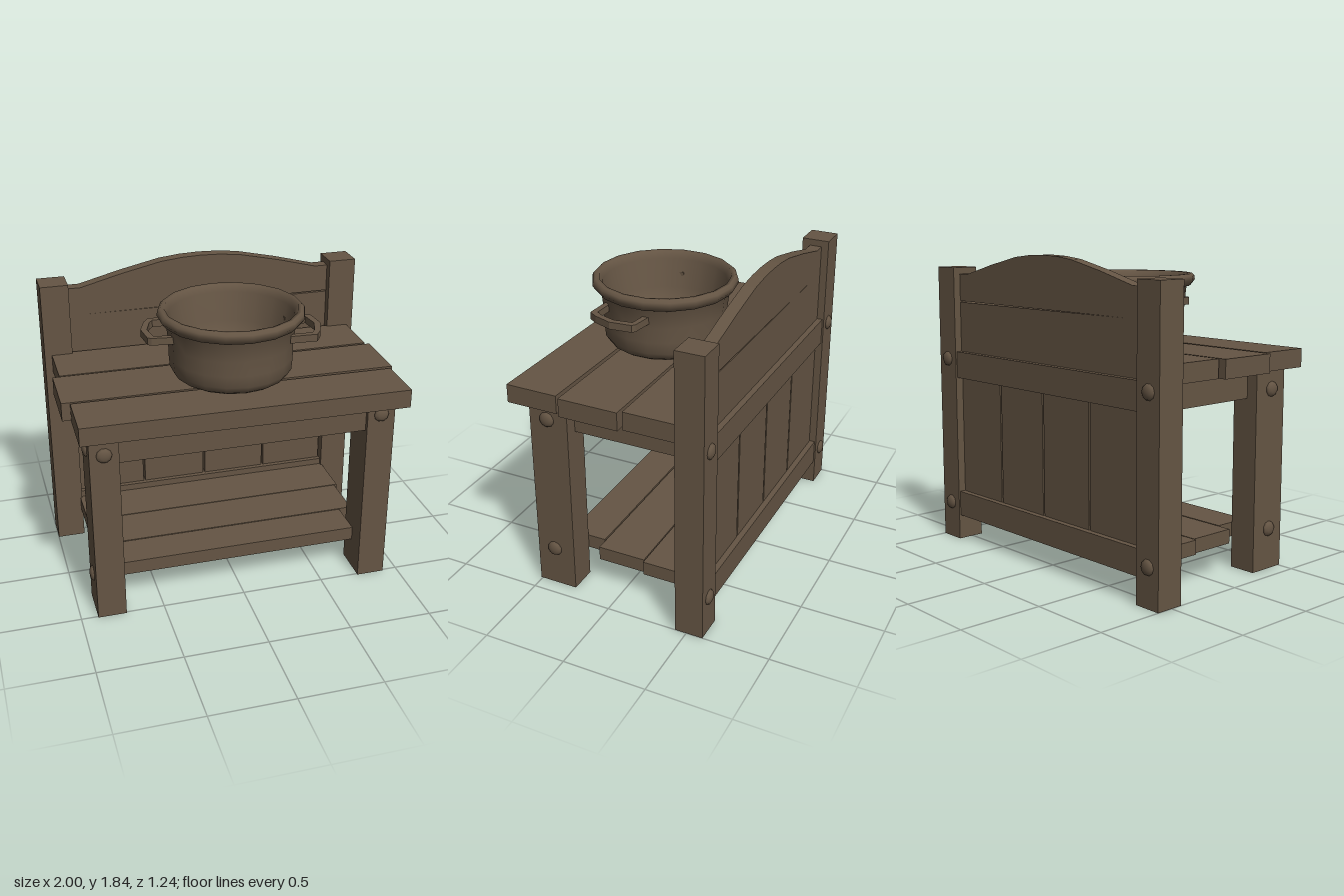
import * as THREE from 'three';

export function createModel() {
  const model = new THREE.Group();
  const wood = new THREE.MeshStandardMaterial({ color: 0x655544 });
  wood.name = 'brown';

  const add = (name, geometry, parent = model) => {
    const mesh = new THREE.Mesh(geometry, wood);
    mesh.name = name;
    parent.add(mesh);
    return mesh;
  };
  // Box given by its limits on each axis
  const box = (name, x0, x1, y0, y1, z0, z1) => {
    const mesh = add(name, new THREE.BoxGeometry(x1 - x0, y1 - y0, z1 - z0));
    mesh.position.set((x0 + x1) / 2, (y0 + y1) / 2, (z0 + z1) / 2);
    return mesh;
  };
  // Shallow domed bolt head pointing along a direction
  const bolt = (x, y, z, dx, dz) => {
    const dome = new THREE.SphereGeometry(0.046, 10, 3, 0, Math.PI * 2, 0, Math.PI / 2);
    dome.scale(1, 0.48, 1);
    const mesh = add('boltHead', dome);
    mesh.position.set(x, y, z);
    mesh.quaternion.setFromUnitVectors(new THREE.Vector3(0, 1, 0), new THREE.Vector3(dx, 0, dz));
  };

  // Legs, posts, side rails and bolts
  for (const s of [-1, 1]) {
    const off = s > 0 ? 0.01 : 0;
    const leg = s * 0.815 + off;
    box('frontLeg', leg - 0.085, leg + 0.085, 0, 1.19, 0.27, 0.51);
    box('backPost', s * 0.915 - 0.085, s * 0.915 + 0.085, 0, 1.74, -0.6, -0.43);
    box('sideRail', s * 0.78 - 0.05, s * 0.78 + 0.05, 1.025, 1.188, -0.43, 0.27);
    const high = s > 0 ? 1.11 : 1.075;
    bolt(leg, high, 0.51, 0, 1);
    bolt(leg + s * 0.085, high, 0.4, s, 0);
    bolt(leg + s * 0.085, 0.245, 0.4, s, 0);
    bolt(s * 0.917, 1.165, -0.6, 0, -1);
    bolt(s * 0.917, 0.23, -0.6, 0, -1);
  }
  box('frontApron', -0.73, 0.74, 1.005, 1.178, 0.38, 0.485);

  // Tabletop planks, laid slightly askew
  box('tabletopPlank', -0.957, 0.96, 1.19, 1.3, -0.452, -0.11).rotation.y = -0.005;
  box('tabletopPlank', -1, 0.98, 1.19, 1.3, -0.095, 0.268).rotation.y = -0.009;
  box('tabletopPlank', -0.955, 0.955, 1.19, 1.3, 0.289, 0.606).rotation.y = -0.014;

  // Lower shelf
  box('shelfPlank', -0.73, 0.74, 0.187, 0.272, 0.158, 0.385);
  box('shelfPlank', -0.82, 0.82, 0.187, 0.272, -0.143, 0.15);
  box('shelfPlank', -0.84, 0.84, 0.187, 0.272, -0.45, -0.149);

  // Back frame and upright planks with narrow gaps
  box('backLowerRail', -0.83, 0.83, 0.155, 0.312, -0.59, -0.45);
  box('backUpperRail', -0.83, 0.83, 1.05, 1.215, -0.59, -0.46);
  const seams = [-0.83, -0.4, 0.01, 0.42, 0.83];
  for (let i = 0; i < 4; i++) {
    box('backPanelPlank', seams[i] + 0.006, seams[i + 1] - 0.006, 0.3, 1.06, -0.555, -0.48);
  }
  box('backBoard', -0.83, 0.83, 1.2, 1.526, -0.555, -0.48).rotation.z = -0.002;

  // Arched board along the top of the back
  const arch = new THREE.Shape();
  [[-0.83, 1.527], [0.83, 1.533], [0.83, 1.7], [0.75, 1.7], [0.5, 1.765], [0.25, 1.82], [0.12, 1.834],
    [0, 1.838], [-0.12, 1.834], [-0.25, 1.82], [-0.5, 1.765], [-0.75, 1.7], [-0.83, 1.7]]
    .forEach(([x, y], i) => (i ? arch.lineTo(x, y) : arch.moveTo(x, y)));
  add('archedBackBoard', new THREE.ExtrudeGeometry(arch, { depth: 0.075, bevelEnabled: false }))
    .position.z = -0.555;

  // Pot: outside, rolled rim, then inside down to the floor
  const pot = new THREE.Group();
  pot.name = 'pot';
  pot.position.set(0.027, 0, 0.103);
  model.add(pot);
  const profile = [[0, 1.301], [0.305, 1.301], [0.335, 1.32], [0.36, 1.36], [0.366, 1.43], [0.367, 1.52],
    [0.38, 1.64], [0.405, 1.643], [0.43, 1.675], [0.426, 1.7], [0.41, 1.715], [0.388, 1.714],
    [0.368, 1.67], [0.33, 1.5], [0.3, 1.41], [0.245, 1.35], [0, 1.35]];
  add('potBody', new THREE.LatheGeometry(profile.map(([r, y]) => new THREE.Vector2(r, y)), 18), pot);

  // Bent handles, one turned half round from the other
  const bar = new THREE.Shape();
  [[-0.28, -0.245], [-0.44, -0.252], [-0.475, -0.2], [-0.517, -0.09], [-0.505, 0.045], [-0.485, 0.06],
    [-0.34, 0.08], [-0.34, 0.045], [-0.465, 0.03], [-0.48, -0.08], [-0.443, -0.185], [-0.42, -0.215], [-0.29, -0.21]]
    .forEach(([x, z], i) => (i ? bar.lineTo(x, -z) : bar.moveTo(x, -z)));
  const barGeometry = new THREE.ExtrudeGeometry(bar, { depth: 0.043, bevelEnabled: false });
  barGeometry.rotateX(-Math.PI / 2);
  for (const turn of [0, Math.PI]) {
    const handle = add('potHandle', barGeometry, pot);
    handle.position.y = 1.549;
    handle.rotation.y = turn;
  }
  return model;
}
